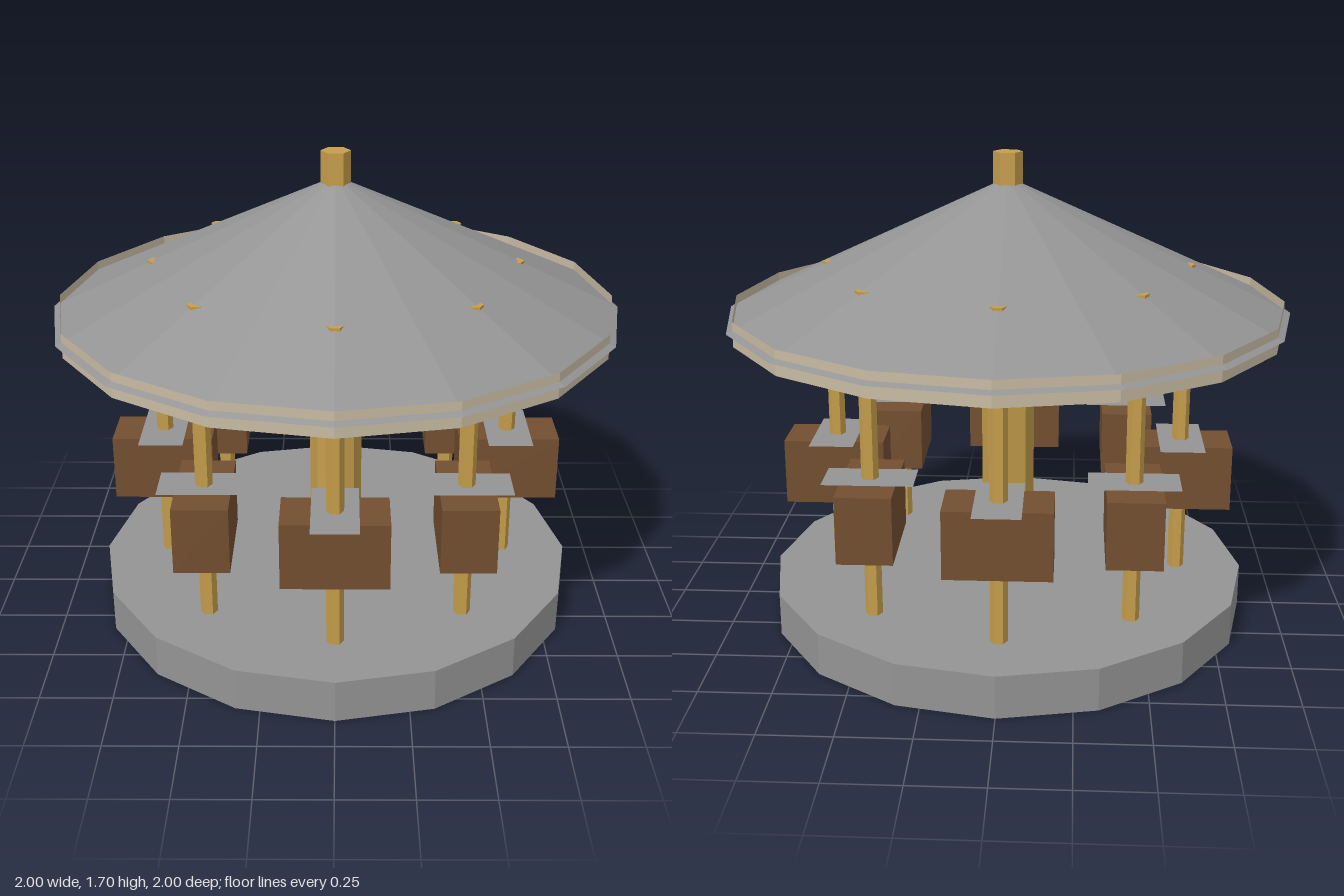
import * as THREE from 'three';

const paint = (color) =>
  new THREE.MeshStandardMaterial({ color, flatShading: true, side: THREE.DoubleSide });
const GREY = paint(0x949494), GOLD = paint(0xc69e4b), BROWN = paint(0x734f30), CREAM = paint(0xc7bba3);

export function createModel() {
  const model = new THREE.Group();
  model.name = 'carousel';

  const add = (parent, name, geometry, material, x, y, z) => {
    const mesh = new THREE.Mesh(geometry, material);
    mesh.name = name;
    mesh.position.set(x, y, z);
    parent.add(mesh);
    return mesh;
  };
  // Upright prism between two heights
  const prism = (parent, name, radius, sides, y0, y1, material, open = false) =>
    add(parent, name, new THREE.CylinderGeometry(radius, radius, y1 - y0, sides, 1, open),
      material, 0, (y0 + y1) / 2, 0);

  // Base and central column
  prism(model, 'platform', 0.87, 16, 0, 0.152, GREY);
  prism(model, 'centralColumn', 0.095, 8, 0.152, 1.435, GOLD);
  prism(model, 'finial', 0.052, 6, 1.435, 1.696, GOLD).rotation.y = Math.PI / 2;

  // Hollow roof and its open rim band
  add(model, 'roof', new THREE.ConeGeometry(1, 0.474, 16, 1, true), GREY, 0, 1.37, 0);
  prism(model, 'roofRim', 0.978, 16, 1.087, 1.174, CREAM, true);

  // Eight riders, alternately turned by a quarter
  for (let i = 0; i < 8; i++) {
    const angle = (i * Math.PI) / 4;
    const rider = new THREE.Group();
    rider.name = 'rider' + (i + 1);
    rider.position.set(0.63 * Math.sin(angle), 0, 0.63 * Math.cos(angle));
    rider.rotation.y = (i % 2) * Math.PI / 2;
    model.add(rider);

    // Poles keep their corners along x whatever the rider's turn
    prism(rider, 'pole', 0.03, 6, 0.152, 1.305, GOLD).rotation.y = Math.PI / 2 - rider.rotation.y;
    add(rider, 'body', new THREE.BoxGeometry(0.362, 0.238, 0.19), BROWN, 0, 0.535, 0);
    // Thin saddle cloth laid across the body
    add(rider, 'saddle', new THREE.PlaneGeometry(0.16, 0.31).rotateX(-Math.PI / 2), GREY, 0, 0.657, 0);
  }
  return model;
}
